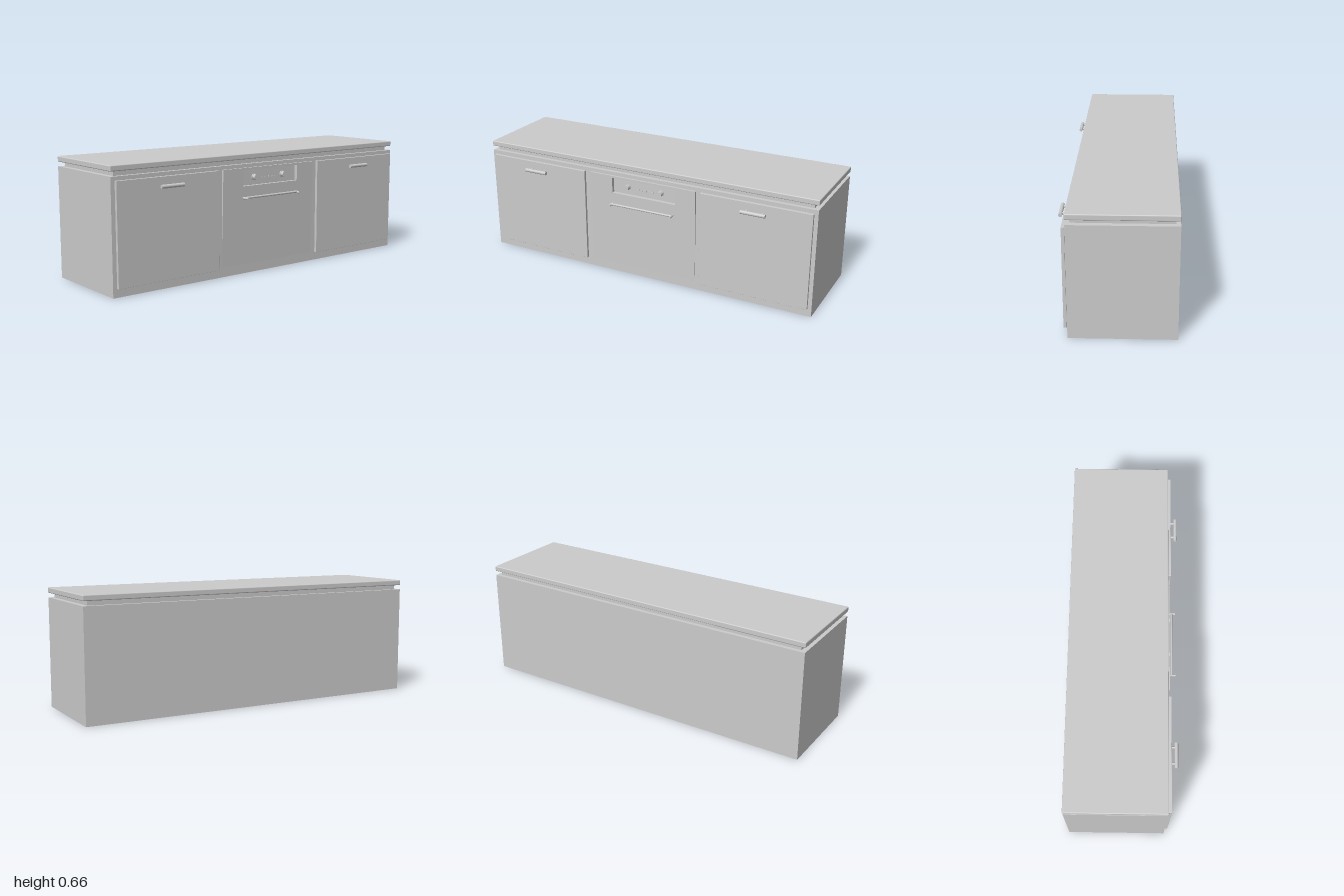
import * as THREE from 'three';
import { RoundedBoxGeometry } from 'three/addons/geometries/RoundedBoxGeometry.js';

const material = new THREE.MeshStandardMaterial({ color: 0xcccccc });

function add(parent, name, geometry, x = 0, y = 0, z = 0) {
  const mesh = new THREE.Mesh(geometry, material);
  mesh.name = name;
  mesh.position.set(x, y, z);
  parent.add(mesh);
  return mesh;
}

// Box given by its minimum and maximum on each axis
function block(parent, name, [x0, x1], [y0, y1], [z0, z1], radius = 0) {
  const size = [x1 - x0, y1 - y0, z1 - z0];
  const geometry = radius
    ? new RoundedBoxGeometry(...size, 3, radius)
    : new THREE.BoxGeometry(...size);
  return add(parent, name, geometry, (x0 + x1) / 2, (y0 + y1) / 2, (z0 + z1) / 2);
}

// Rods along x and along z
const rodX = (r, length) => new THREE.CylinderGeometry(r, r, length, 24).rotateZ(Math.PI / 2);
const rodZ = (r, length) => new THREE.CylinderGeometry(r, r, length, 24).rotateX(Math.PI / 2);

// Rectangular plate with a rectangular window, extruded along z
function framedPlate([x0, x1], [y0, y1], [hx0, hx1], [hy0, hy1], depth) {
  const rect = (C, a, b, c, d) =>
    new C([[a, c], [b, c], [b, d], [a, d]].map(p => new THREE.Vector2(...p)));
  const shape = rect(THREE.Shape, x0, x1, y0, y1);
  shape.holes.push(rect(THREE.Path, hx0, hx1, hy0, hy1));
  return new THREE.ExtrudeGeometry(shape, { depth, bevelEnabled: false });
}

export function createModel() {
  const model = new THREE.Group();
  model.name = 'kitchenCounter';
  const front = 0.243;
  const recessZ = 0.232;
  const windowX = [-0.183, 0.207];
  const windowY = [0.485, 0.573];

  // Cabinet with a shallow opening for the oven controls
  block(model, 'cabinet', [-0.998, 0.998], [0, 0.605], [-0.297, recessZ]);
  add(model, 'cabinetFront',
    framedPlate([-0.998, 0.998], [0, 0.605], windowX, windowY, front - recessZ), 0, 0, recessZ);

  // Worktop on a set-back neck
  block(model, 'neck', [-0.97, 0.97], [0.605, 0.63], [-0.275, 0.222]);
  block(model, 'worktop', [-1, 1], [0.63, 0.66], [-0.298, 0.245], 0.005);

  // Cupboard doors with bar handles
  for (const side of [-1, 1]) {
    const door = new THREE.Group();
    door.name = side > 0 ? 'leftDoor' : 'rightDoor';
    door.position.x = side * 0.667;
    model.add(door);
    block(door, 'doorBacking', [-0.305, 0.305], [0.053, 0.579], [front, 0.247]);
    block(door, 'doorPanel', [-0.311, 0.311], [0.047, 0.585], [0.247, 0.263], 0.001);
    add(door, 'doorHandle', rodX(0.01, 0.137), 0, 0.538, 0.29);
    for (const x of [-0.044, 0.044])
      add(door, 'doorHandlePost', rodZ(0.006, 0.024), x, 0.538, 0.274);
  }

  // Oven front: leans out at the top and runs flush with the cabinet at the bottom
  const ovenGeometry = framedPlate([-0.32, 0.326], [0.05, 0.585], windowX, windowY, 0.01);
  const p = ovenGeometry.attributes.position;
  for (let i = 0; i < p.count; i++)
    if (p.getZ(i) > 0.005) p.setZ(i, 0.0005 + 0.0105 * (p.getY(i) - 0.05) / 0.535);
  ovenGeometry.computeVertexNormals();
  add(model, 'ovenFront', ovenGeometry, 0, 0, front);

  // Oven controls
  for (const x of [-0.093, 0.111]) {
    add(model, 'knobBase', rodZ(0.017, 0.006), x, 0.528, recessZ + 0.003);
    add(model, 'knob', rodZ(0.015, 0.026), x, 0.528, recessZ + 0.013);
  }
  for (let i = 0; i < 5; i++) {
    const x = -0.03 + i * 0.0225;
    block(model, 'controlButton', [x - 0.007, x + 0.007], [0.519, 0.525], [recessZ, recessZ + 0.004]);
  }

  // Oven handle carried by two posts
  add(model, 'ovenHandle', rodX(0.006, 0.376), 0.005, 0.424, 0.272);
  for (const x of [-0.181, 0.191])
    add(model, 'ovenHandlePost', rodZ(0.006, 0.05), x, 0.421, 0.269);

  return model;
}
